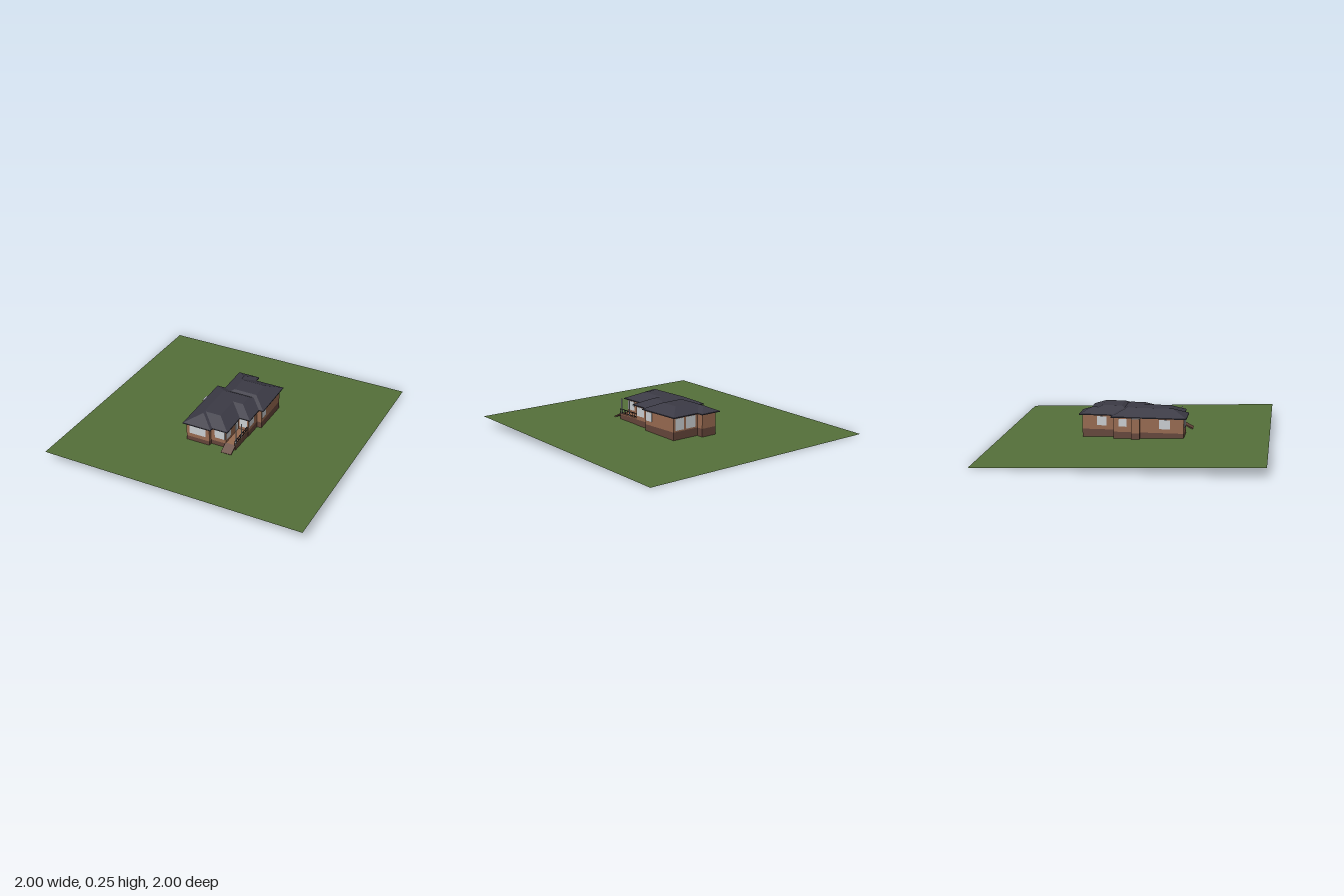
import * as THREE from 'three';

const mat = (name, color, side = THREE.FrontSide) => {
  const m = new THREE.MeshStandardMaterial({ color, side });
  m.name = name;
  return m;
};

export function createModel() {
  const grass = mat('grass', 0x55703a, THREE.DoubleSide);
  const brick = mat('brick', 0x96694f);
  const plinth = mat('darkBrick', 0x64453a);
  const slate = mat('slate', 0x3b3a45);
  const glass = mat('paleGlass', 0xc9cdd0);
  const iron = mat('darkRail', 0x26242a);
  const house = new THREE.Group();
  house.name = 'house';

  const add = (name, geo, material) => {
    const m = new THREE.Mesh(geo, material);
    m.name = name;
    house.add(m);
    return m;
  };
  // box given by its limits
  const box = (name, x0, x1, y0, y1, z0, z1, material) => {
    const m = add(name, new THREE.BoxGeometry(x1 - x0, y1 - y0, z1 - z0), material);
    m.position.set((x0 + x1) / 2, (y0 + y1) / 2, (z0 + z1) / 2);
    return m;
  };

  // hollow wall ring over a right-angled outline of [x, z] corners
  const ring = (name, pts, y0, y1, t, material) => {
    const p = pts.map(([x, z]) => new THREE.Vector2(x, -z));
    if (THREE.ShapeUtils.isClockWise(p)) p.reverse();
    const n = p.length;
    const normal = (i) => {
      const d = p[(i + 1) % n].clone().sub(p[i]).normalize();
      return new THREE.Vector2(-d.y, d.x);
    };
    const inner = p.map((v, i) =>
      v.clone().addScaledVector(normal(i), t).addScaledVector(normal((i + n - 1) % n), t));
    const shape = new THREE.Shape(p);
    shape.holes.push(new THREE.Path(inner));
    const geo = new THREE.ExtrudeGeometry(shape, { depth: y1 - y0, bevelEnabled: false });
    geo.rotateX(-Math.PI / 2);
    geo.translate(0, y0, 0);
    add(name, geo, material);
  };

  // sloping lawn
  const lawn = new THREE.PlaneGeometry(2, 2).rotateX(-Math.PI / 2);
  const lp = lawn.attributes.position;
  for (let i = 0; i < lp.count; i++) lp.setY(i, 0.0375 * (1 + lp.getZ(i)));
  lawn.computeVertexNormals();
  add('lawn', lawn, grass);

  // walls
  const outline = [
    [-0.185, 0.38], [0, 0.38], [0, 0.35], [0.12, 0.35], [0.12, 0.145], [0.2, 0.145],
    [0.2, -0.005], [0.235, -0.005], [0.235, -0.325], [0.01, -0.325], [0.01, -0.378],
    [-0.12, -0.378], [-0.12, -0.135], [-0.185, -0.135],
  ];
  ring('foundation', outline, 0, 0.085, 0.014, plinth);
  ring('walls', outline, 0.085, 0.197, 0.014, brick);

  // hipped roof: overlapping blocks of equal slope
  const eave = 0.2, run = 0.108, slope = 0.05 / run;
  const hip = (x0, x1, z0, z1) => {
    const d = Math.min(run, (x1 - x0) / 2, (z1 - z0) / 2), y = eave + d * slope;
    const b = [[x0, eave, z1], [x1, eave, z1], [x1, eave, z0], [x0, eave, z0]];
    const t = [[x0 + d, y, z1 - d], [x1 - d, y, z1 - d], [x1 - d, y, z0 + d], [x0 + d, y, z0 + d]];
    const v = [];
    const quad = (a, c, e, f) => v.push(...a, ...c, ...e, ...a, ...e, ...f);
    for (let i = 0; i < 4; i++) {
      const j = (i + 1) % 4;
      quad(b[i], b[j], t[j], t[i]);
    }
    quad(...t);
    const g = new THREE.BufferGeometry();
    g.setAttribute('position', new THREE.Float32BufferAttribute(v, 3));
    g.computeVertexNormals();
    add('roof', g, slate);
    box('eaves', x0, x1, 0.193, eave, z0, z1, slate);
  };
  hip(-0.205, 0.14, -0.155, 0.37);
  hip(-0.205, 0.02, -0.155, 0.4);
  hip(-0.205, 0.22, -0.155, 0.165);
  hip(-0.14, 0.255, -0.35, 0.01);
  hip(-0.14, 0.03, -0.4, -0.1);

  // side bay with a pale cap
  box('sideBayBase', -0.22, -0.185, 0, 0.085, 0, 0.06, plinth);
  box('sideBay', -0.22, -0.185, 0.085, 0.19, 0, 0.06, brick);
  box('sideBayCap', -0.22, -0.185, 0.19, 0.193, 0, 0.06, glass);

  // windows as thin plates: facing z, then facing x
  const e = 0.002;
  for (const [x0, x1, z, y0] of [
    [-0.16, -0.03, 0.38, 0.115], [0.03, 0.11, 0.35, 0.115], [0.13, 0.19, 0.145, 0.115],
    [0.03, 0.12, -0.325, 0.095], [0.14, 0.22, -0.325, 0.095],
  ]) box('window', x0, x1, y0, 0.183, z - e, z + e, glass);
  for (const [z0, z1, x, y0] of [
    [0.27, 0.345, 0.12, 0.115], [0.16, 0.195, 0.12, 0.095], [0.055, 0.135, 0.2, 0.115],
    [-0.08, -0.015, 0.235, 0.115], [-0.27, -0.2, -0.12, 0.115],
    [-0.1, -0.04, -0.185, 0.125], [0.2, 0.28, -0.185, 0.115],
  ]) box('window', x - e, x + e, y0, 0.183, z0, z1, glass);

  // porch
  ring('porchBase', [[0.12, 0.145], [0.195, 0.145], [0.195, 0.35], [0.12, 0.35]], 0, 0.085, 0.01, plinth);
  box('porchDeck', 0.12, 0.195, 0.085, 0.092, 0.145, 0.35, brick);
  for (const z of [0.24, 0.335]) box('porchPost', 0.188, 0.194, 0.092, 0.21, z - 0.003, z + 0.003, glass);
  for (const y of [0.102, 0.127]) box('handrail', 0.189, 0.194, y - 0.002, y + 0.002, 0.148, 0.355, iron);
  for (let i = 0; i < 8; i++) {
    const z = 0.15 + i * 0.029;
    box('baluster', 0.19, 0.193, 0.092, 0.127, z - 0.0015, z + 0.0015, iron);
  }
  // sloping steps
  const ramp = box('steps', 0.115, 0.195, 0.068, 0.076, 0.343, 0.425, plinth);
  ramp.rotation.x = 0.46;

  return house;
}
